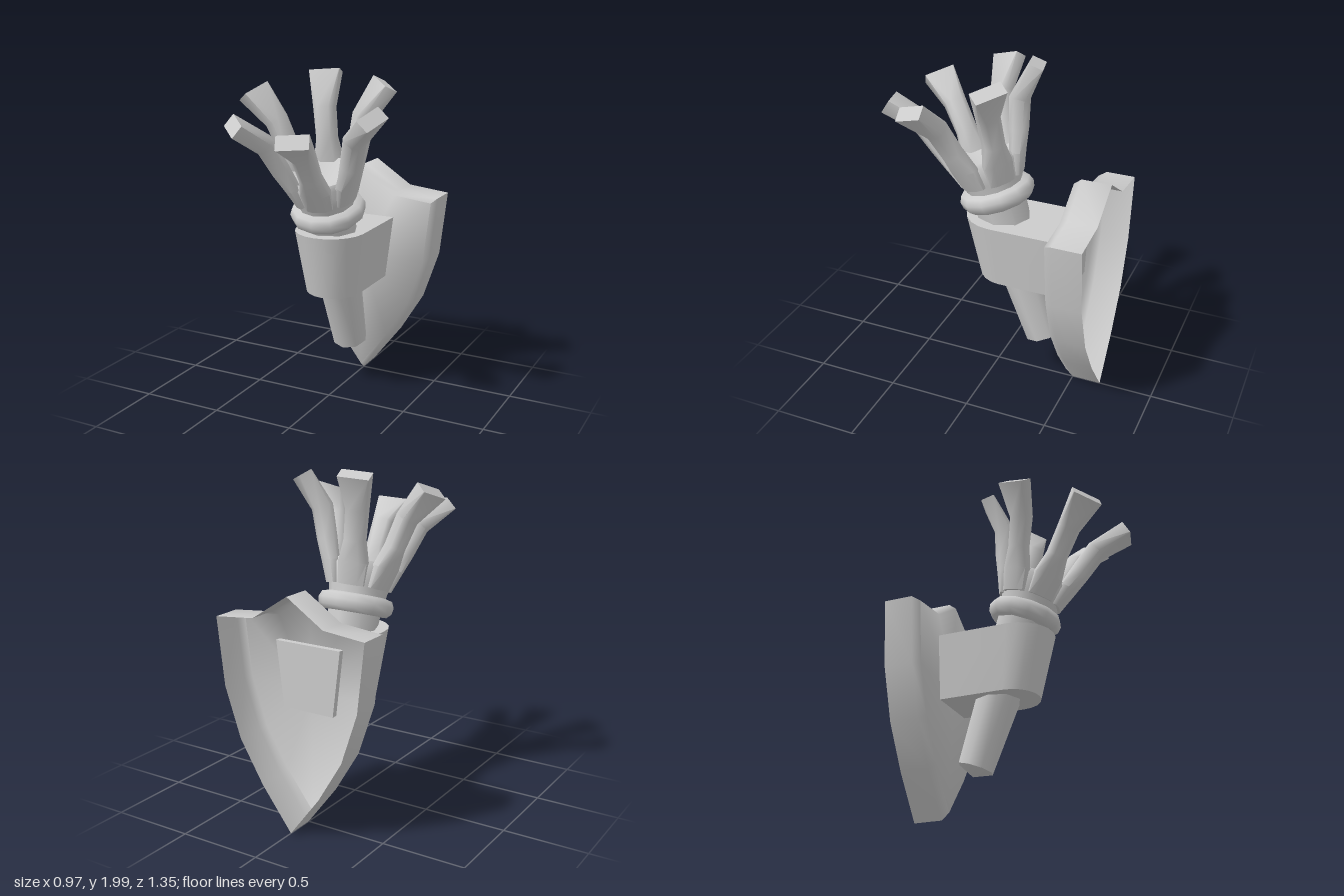
import * as THREE from 'three';
import { toCreasedNormals } from 'three/addons/utils/BufferGeometryUtils.js';

const solid = new THREE.MeshStandardMaterial({ color: 0xcccccc });
const shell = new THREE.MeshStandardMaterial({ color: 0xcccccc, side: THREE.DoubleSide });

function addMesh(parent, name, geometry, material = solid) {
  const mesh = new THREE.Mesh(geometry, material);
  mesh.name = name;
  parent.add(mesh);
  return mesh;
}

// Skin a stack of equal-length loops and close the ends with fans.
// Loops run counter-clockwise seen from the last loop's side.
function loft(loops, crease, openStart = false) {
  const n = loops[0].length;
  const pts = loops.flat();
  const index = [];
  for (let s = 0; s < loops.length - 1; s++) {
    for (let i = 0; i < n; i++) {
      const j = (i + 1) % n;
      const a = s * n + i, b = s * n + j, c = a + n, d = b + n;
      index.push(a, b, d, a, d, c);
    }
  }
  const cap = (s, flip) => {
    const centre = [0, 1, 2].map(k => loops[s].reduce((sum, p) => sum + p[k], 0) / n);
    pts.push(centre);
    for (let i = 0; i < n; i++) {
      const a = s * n + i, b = s * n + (i + 1) % n;
      index.push(pts.length - 1, flip ? b : a, flip ? a : b);
    }
  };
  if (!openStart) cap(0, true);
  cap(loops.length - 1, false);
  const geometry = new THREE.BufferGeometry();
  geometry.setAttribute('position', new THREE.Float32BufferAttribute(pts.flat(), 3));
  geometry.setIndex(index);
  return toCreasedNormals(geometry, crease);
}

function lathe(profile, sides, crease) {
  const points = profile.map(([r, y]) => new THREE.Vector2(r, y));
  return toCreasedNormals(new THREE.LatheGeometry(points, sides), crease);
}

// Shield-shaped wall plate: a shell open at the back with a chamfered front edge
function shieldGeometry() {
  const side = [[0.19, 0.25], [0.34, 0.5], [0.44, 0.8], [0.485, 1.2], [0.23, 1.225]];
  const outline = [[0, 0], ...side, [0, 1.375], ...side.map(([x, y]) => [-x, y]).reverse()];
  const loop = (z, k) => outline.map(([x, y]) => [x * k, 0.75 + (y - 0.75) * k, z]);
  return loft([loop(-0.675, 1), loop(-0.5, 1), loop(-0.455, 0.945)], 1.25, true);
}

// Round-fronted holder that narrows downward and pokes just through the plate
function bracketGeometry() {
  const loop = (y, w, front) => {
    const points = [[w, y, -0.49], [-w, y, -0.49]];
    for (let i = 0; i <= 10; i++) {
      const a = Math.PI * (1 + i / 10);
      points.push([w * Math.cos(a), y, front - w - w * Math.sin(a)]);
    }
    return points;
  };
  return loft([loop(0.67, 0.165, 0.1), loop(1.06, 0.213, 0.19)], 0.7);
}

// One flame tongue leaning outward along +z, ending in a flat square tip
function flameGeometry() {
  // radius, height, lean, half width, half thickness, corner squareness
  const sections = [
    [0.16, 0.1, 0.15, 0.075, 0.03, 0.5],
    [0.195, 0.23, 0.25, 0.085, 0.045, 0.5],
    [0.237, 0.35, 0.35, 0.06, 0.055, 0.5],
    [0.295, 0.52, 0.5, 0.062, 0.058, 0.55],
    [0.445, 0.68, 0.7, 0.092, 0.043, 0.95],
  ];
  return loft(sections.map(([r, y, lean, w, t, c]) => {
    const corners = [[1, c], [1, -c], [c, -1], [-c, -1], [-1, -c], [-1, c], [-c, 1], [c, 1]];
    return corners.map(([a, b]) =>
      [a * w, y - b * t * Math.sin(lean), r + b * t * Math.cos(lean)]);
  }), 1.1);
}

export function createModel() {
  const model = new THREE.Group();
  model.name = 'wallTorch';
  addMesh(model, 'shieldPlate', shieldGeometry(), shell);
  addMesh(model, 'bracket', bracketGeometry());

  // Torch leans forward out of the bracket; its origin is the collar centre
  const torch = new THREE.Group();
  torch.name = 'torch';
  torch.position.set(0, 1.19, 0.01);
  torch.rotation.x = THREE.MathUtils.degToRad(18.5);
  model.add(torch);

  addMesh(torch, 'handle', lathe([[0, -1.01], [0.108, -0.96], [0.163, 0]], 8, 0.9));
  addMesh(torch, 'collar', lathe(
    [[0.13, -0.055], [0.19, -0.055], [0.217, -0.03], [0.224, 0.01], [0.208, 0.045], [0.15, 0.06]],
    12, 1.2));
  addMesh(torch, 'cup', lathe(
    [[0.165, 0.03], [0.178, 0.11], [0.203, 0.22], [0.185, 0.25], [0, 0.15]], 12, 1.2));

  // Ring of six flame tongues
  const flame = flameGeometry();
  for (let i = 0; i < 6; i++) {
    const mesh = addMesh(torch, 'flame' + (i + 1), flame);
    mesh.rotation.y = THREE.MathUtils.degToRad(15 + i * 60);
  }
  return model;
}
